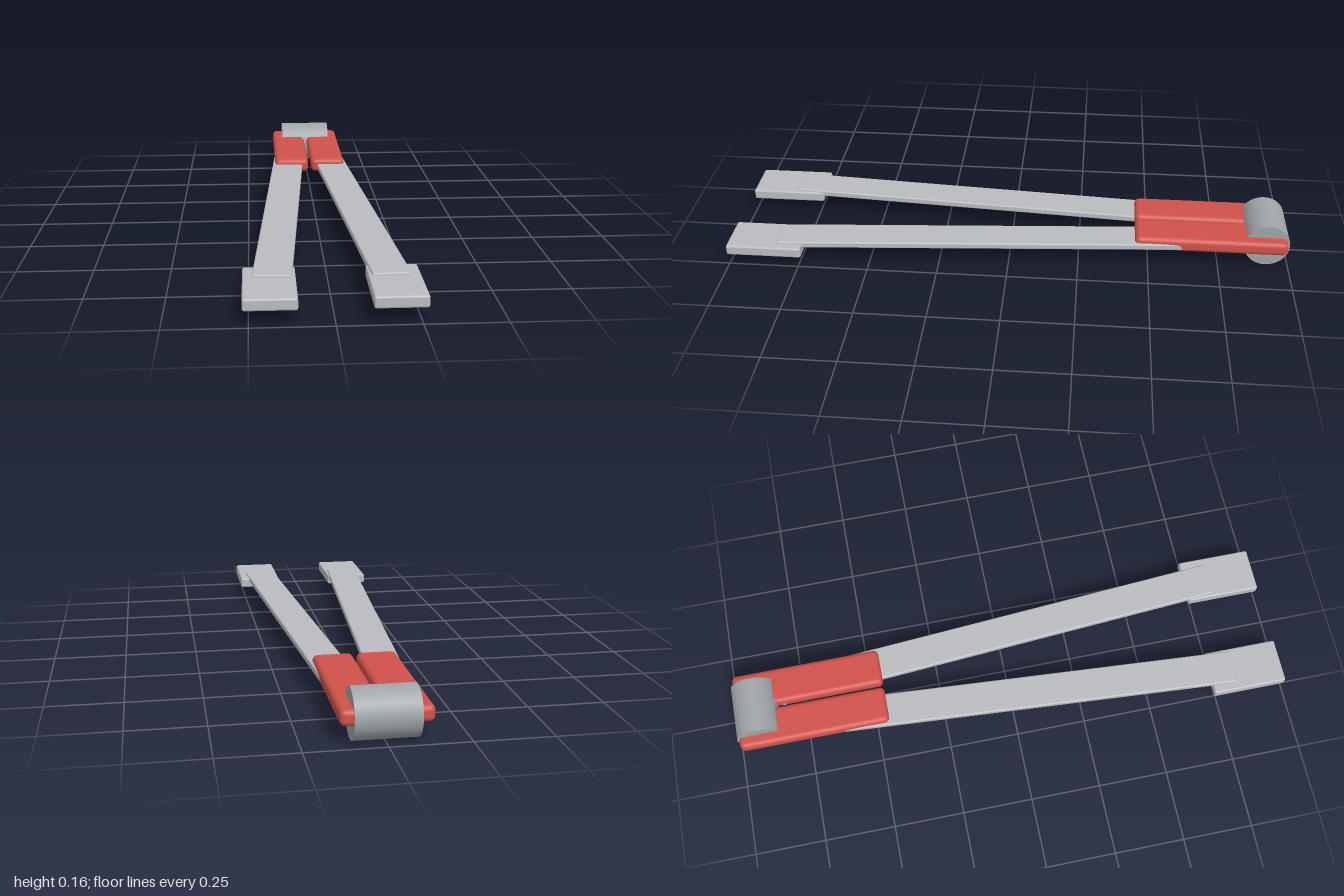
import * as THREE from 'three';
import { RoundedBoxGeometry } from 'three/addons/geometries/RoundedBoxGeometry.js';

function material(name, color) {
  const m = new THREE.MeshStandardMaterial({ color });
  m.name = name;
  return m;
}

export function createModel() {
  const group = new THREE.Group();
  group.name = 'hingedTool';
  const steel = material('light steel', 0xbabcc0);
  const red = material('red grip', 0xd0524a);
  const barrelGrey = material('barrel grey', 0xa0a5a8);

  const block = (name, mat, size, radius, position) => {
    const mesh = new THREE.Mesh(new RoundedBoxGeometry(...size, 4, radius), mat);
    mesh.name = name;
    mesh.position.set(...position);
    group.add(mesh);
    return mesh;
  };

  // Hinge barrel lying across the back
  const barrel = new THREE.Mesh(new THREE.CylinderGeometry(0.08, 0.08, 0.2, 48), barrelGrey);
  barrel.name = 'hingeBarrel';
  barrel.rotation.z = Math.PI / 2;
  barrel.position.set(0, 0.08, -0.92);
  group.add(barrel);

  // Mirrored grips, splayed arms and flat end pads
  for (const [side, s] of [['left', 1], ['right', -1]]) {
    block(side + 'Grip', red, [0.134, 0.052, 0.54], 0.018, [s * 0.073, 0.088, -0.72]);
    const arm = block(side + 'Arm', steel, [0.12, 0.024, 1.66], 0.006, [s * 0.1225, 0.082, 0]);
    arm.rotation.y = s * 0.0695;
    block(side + 'Pad', steel, [0.16, 0.038, 0.268], 0.007, [s * 0.188, 0.068, 0.866]);
  }
  return group;
}
